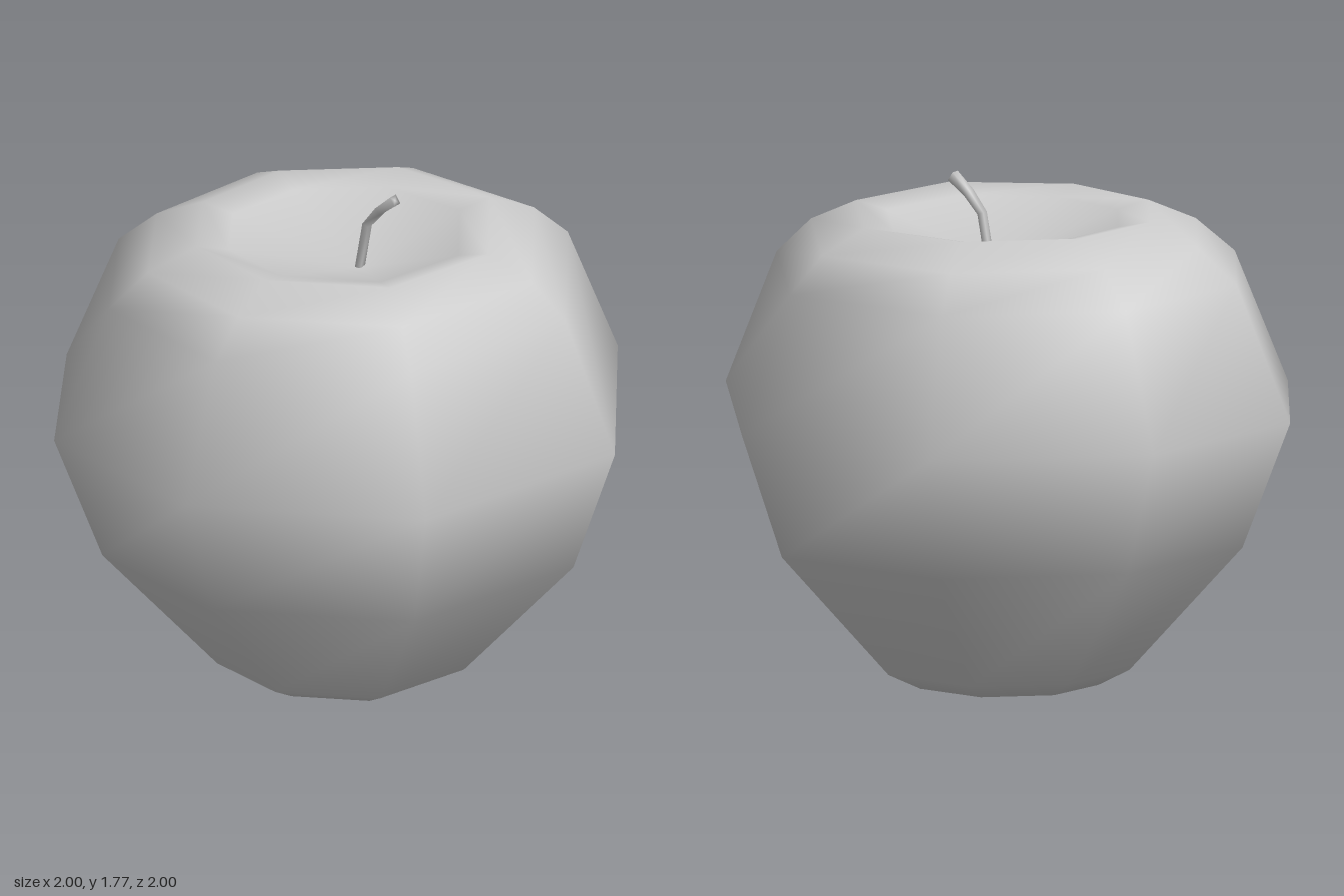
import * as THREE from 'three';

const material = new THREE.MeshStandardMaterial({ color: 0xcccccc });

// Skin rings (listed along the path) and close both ends with a pole vertex.
function loft(name, rings, startPole, endPole) {
  const n = rings[0].length;
  const positions = [...startPole, ...rings.flat(2), ...endPole];
  const last = 1 + rings.length * n;
  const at = (r, i) => 1 + r * n + (i % n);
  const index = [];
  for (let i = 0; i < n; i++) {
    index.push(0, at(0, i), at(0, i + 1));
    for (let r = 0; r < rings.length - 1; r++) {
      const a = at(r, i), b = at(r, i + 1), c = at(r + 1, i), d = at(r + 1, i + 1);
      index.push(a, c, b, b, c, d);
    }
    index.push(at(rings.length - 1, i), last, at(rings.length - 1, i + 1));
  }
  const geometry = new THREE.BufferGeometry();
  geometry.setAttribute('position', new THREE.Float32BufferAttribute(positions, 3));
  geometry.setIndex(index);
  geometry.computeVertexNormals();
  const mesh = new THREE.Mesh(geometry, material);
  mesh.name = name;
  return mesh;
}

// Fruit body: an uneven octagon scaled along a bottom-to-top profile, ending in the dimple.
function createBody() {
  const outline = [
    [-0.30, -1.0], [0.47, -0.95], [1.0, -0.19], [0.80, 0.63],
    [0.07, 1.0], [-0.61, 0.81], [-1.0, 0.19], [-0.89, -0.51],
  ];
  // [scale, height, x shift]
  const profile = [
    [0.325, 0.03, 0.005], [0.44, 0.09, 0.01], [0.84, 0.54, 0.01], [1, 0.98, 0],
    [0.815, 1.44, 0.005], [0.685, 1.56, 0.015], [0.52, 1.635, 0.02], [0.41, 1.61, 0.02],
  ];
  const rings = profile.map(([s, y, dx]) => outline.map(([x, z]) => [x * s + dx, y, z * s]));
  return loft('fruitBody', rings, [0, 0, -0.03], [0.03, 1.47, -0.06]);
}

// Stem: a thin bent square rod, a little thicker at its tip.
function createStem() {
  // [x, y, half thickness, lean from vertical]
  const path = [
    [0.03, 1.46, 0.012, 0.1], [0.062, 1.635, 0.012, 0.35],
    [0.115, 1.70, 0.014, 0.75], [0.178, 1.752, 0.017, 1.0],
  ];
  const corners = [[-1, -1], [1, -1], [1, 1], [-1, 1]];
  const z = -0.065;
  const rings = path.map(([x, y, h, lean]) => corners.map(([u, w]) =>
    [x + u * h * Math.cos(lean), y - u * h * Math.sin(lean), z + w * h]));
  const [bx, by] = path[0], [tx, ty] = path[path.length - 1];
  return loft('stem', rings, [bx, by, z], [tx, ty, z]);
}

export function createModel() {
  const group = new THREE.Group();
  group.name = 'apple';
  group.add(createBody(), createStem());
  return group;
}
